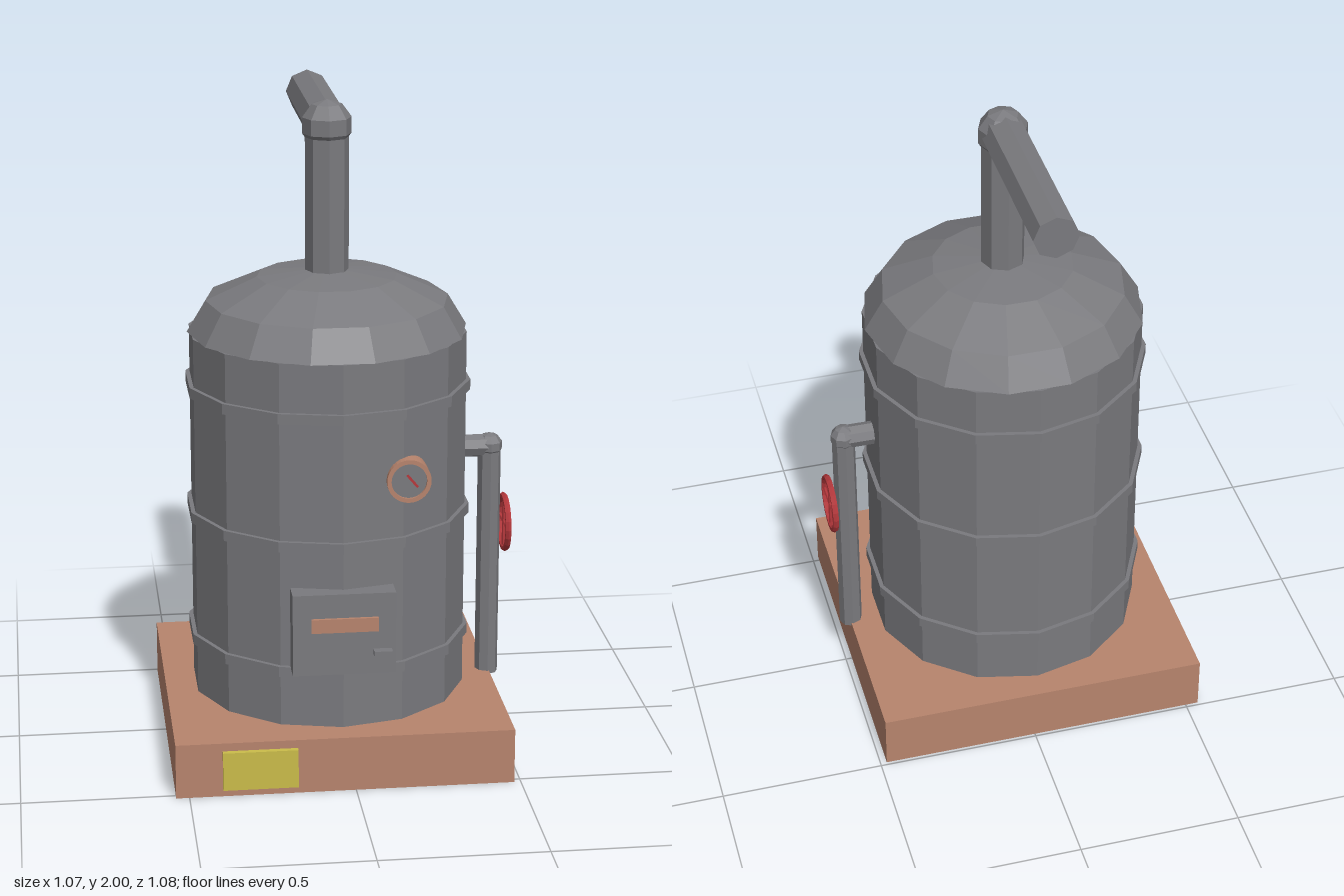
import * as THREE from 'three';

const AXIS_X = -0.03, AXIS_Z = 0.015; // centre line of the boiler

function material(name, color) {
  const m = new THREE.MeshStandardMaterial({ color, flatShading: true });
  m.name = name;
  return m;
}

export function createModel() {
  const model = new THREE.Group();
  model.name = 'boiler';
  const iron = material('iron grey', 0x7a7a7e);
  const copper = material('copper', 0xb7846d);
  const red = material('valve red', 0xb5383c);
  const yellow = material('plate yellow', 0xcabc4a);

  const add = (name, geometry, mat, x, y, z, parent = model) => {
    const mesh = new THREE.Mesh(geometry, mat);
    mesh.name = name;
    mesh.position.set(x, y, z);
    parent.add(mesh);
    return mesh;
  };
  const box = (name, mat, x0, x1, y0, y1, z0, z1) =>
    add(name, new THREE.BoxGeometry(x1 - x0, y1 - y0, z1 - z0), mat,
      (x0 + x1) / 2, (y0 + y1) / 2, (z0 + z1) / 2);
  // Eight-sided pipe between two points
  const pipe = (name, r, from, to) => {
    const a = new THREE.Vector3(...from), b = new THREE.Vector3(...to);
    const dir = b.clone().sub(a);
    const mid = a.clone().add(b).multiplyScalar(0.5);
    const mesh = add(name, new THREE.CylinderGeometry(r, r, dir.length(), 8), iron, mid.x, mid.y, mid.z);
    mesh.quaternion.setFromUnitVectors(new THREE.Vector3(0, 1, 0), dir.normalize());
    return mesh;
  };

  // Base slab and its front plate
  box('base', copper, -0.54, 0.48, 0, 0.17, -0.49, 0.52);
  box('basePlate', yellow, -0.4, -0.175, 0.025, 0.145, 0.515, 0.537);

  // Tank with three raised bands
  add('tank', new THREE.CylinderGeometry(0.424, 0.424, 1.14, 14), iron, AXIS_X, 0.73, AXIS_Z);
  for (const y of [0.345, 0.74, 1.135]) {
    add('band', new THREE.CylinderGeometry(0.437, 0.437, 0.032, 14), iron, AXIS_X, y, AXIS_Z);
  }

  // Flattened dome, turned half a facet from the tank
  const profile = [new THREE.Vector2(0, 0)];
  for (let i = 0; i <= 3; i++) {
    const a = (i * Math.PI) / 6;
    profile.push(new THREE.Vector2(i === 3 ? 0 : 0.426 * Math.cos(a), 0.19 * Math.sin(a)));
  }
  const dome = add('dome', new THREE.LatheGeometry(profile, 14), iron, AXIS_X, 1.3, AXIS_Z);
  dome.rotation.y = Math.PI / 14;

  // Chimney with elbow and rearward outlet
  pipe('chimney', 0.066, [AXIS_X, 1.44, AXIS_Z], [AXIS_X, 1.922, AXIS_Z]);
  pipe('chimneyOutlet', 0.067, [AXIS_X, 1.924, AXIS_Z], [AXIS_X, 1.924, -0.54]);
  add('chimneyElbow', new THREE.SphereGeometry(0.078, 8, 5), iron, AXIS_X, 1.922, AXIS_Z);

  // Side pipe
  pipe('sidePipe', 0.036, [0.475, 0.16, AXIS_Z], [0.475, 0.908, AXIS_Z]);
  pipe('sidePipeInlet', 0.036, [0.34, 0.908, AXIS_Z], [0.475, 0.908, AXIS_Z]);
  add('sidePipeElbow', new THREE.SphereGeometry(0.041, 8, 5), iron, 0.475, 0.908, AXIS_Z);

  // Valve wheel with crossed spokes
  const wheel = new THREE.Group();
  wheel.name = 'valveWheel';
  wheel.position.set(0.525, 0.655, AXIS_Z);
  wheel.rotation.y = Math.PI / 2;
  model.add(wheel);
  add('wheelRim', new THREE.TorusGeometry(0.083, 0.01, 6, 20), red, 0, 0, 0, wheel);
  for (const turn of [0, Math.PI / 2]) {
    const spoke = add('wheelSpoke', new THREE.CylinderGeometry(0.006, 0.006, 0.166, 6), red, 0, 0, 0, wheel);
    spoke.rotation.z = turn;
  }

  // Fire door with copper strip and handle
  box('fireDoor', iron, -0.185, 0.123, 0.357, 0.61, 0.36, 0.478);
  box('doorStrip', copper, -0.13, 0.07, 0.493, 0.536, 0.47, 0.488);
  box('doorHandle', iron, 0.055, 0.11, 0.42, 0.435, 0.47, 0.506);

  // Pressure gauge: copper ring, dial and needle
  const gauge = new THREE.Group();
  gauge.name = 'gauge';
  gauge.position.set(0.167, 0.935, 0);
  model.add(gauge);
  const ring = new THREE.Shape().absarc(0, 0, 0.066, 0, Math.PI * 2);
  ring.holes.push(new THREE.Path().absarc(0, 0, 0.053, 0, Math.PI * 2, true));
  add('gaugeRing', new THREE.ExtrudeGeometry(ring, { depth: 0.07, bevelEnabled: false, curveSegments: 16 }),
    copper, 0, 0, 0.355, gauge);
  const dial = add('gaugeDial', new THREE.CylinderGeometry(0.054, 0.054, 0.06, 16), iron, 0, 0, 0.387, gauge);
  dial.rotation.x = Math.PI / 2;
  const needle = add('gaugeNeedle', new THREE.BoxGeometry(0.007, 0.048, 0.006), red, 0.008, 0.004, 0.434, gauge);
  needle.rotation.z = 0.7;

  return model;
}
